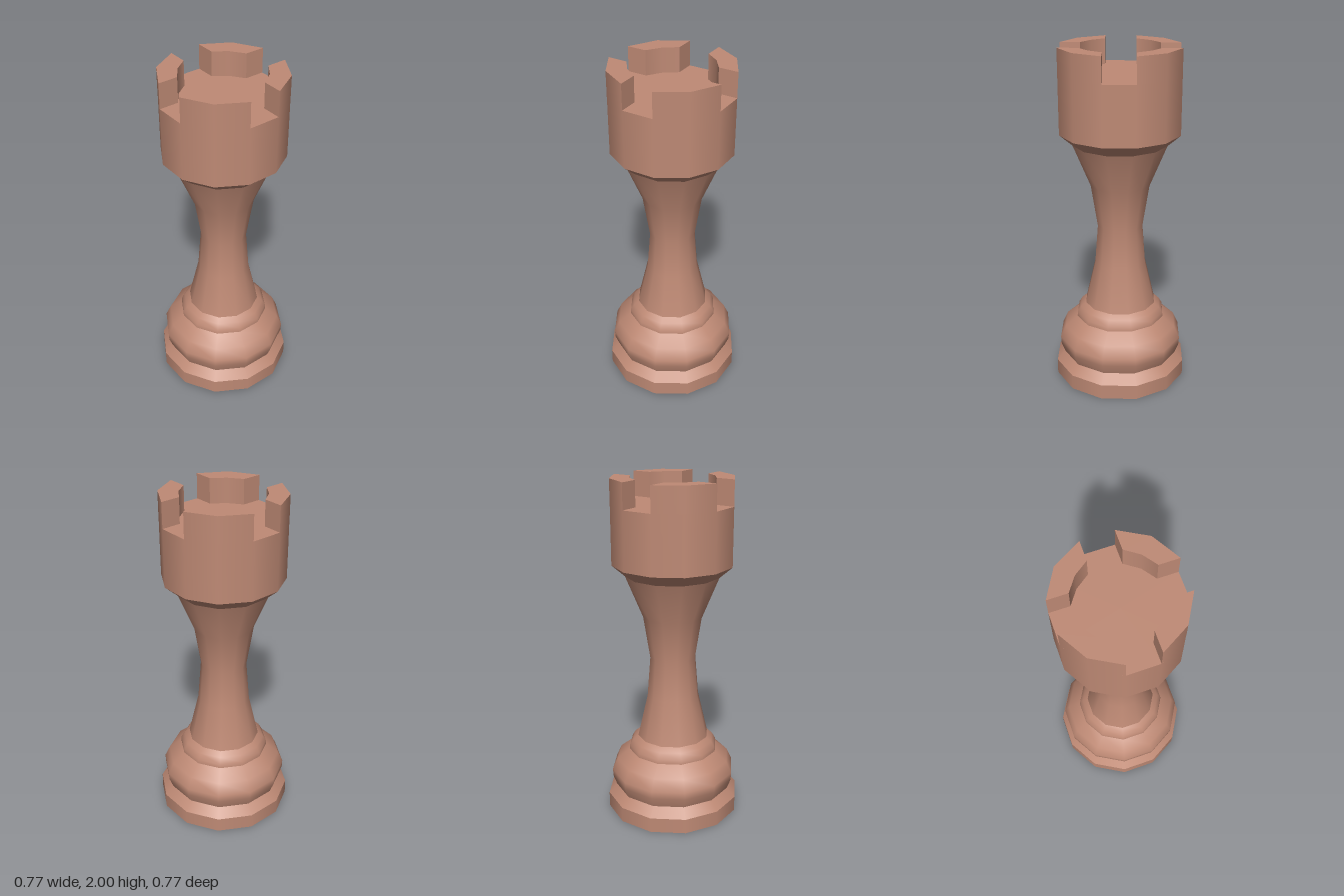
import * as THREE from 'three';

const SIDES = 12;
const FLAT = Math.cos(Math.PI / SIDES); // flat-to-flat half width / corner radius

export function createModel() {
  const group = new THREE.Group();
  const wood = new THREE.MeshStandardMaterial({ color: 0xbf8a75 });
  wood.name = 'terracotta wood';

  function add(name, geometry, parent = group) {
    const mesh = new THREE.Mesh(geometry, wood);
    mesh.name = name;
    parent.add(mesh);
    return mesh;
  }

  // Twelve-sided turned section; points are [half width, height], smooth within a section
  function turned(name, points) {
    const profile = points.map(([w, y]) => new THREE.Vector2(w / FLAT, y));
    add(name, new THREE.LatheGeometry(profile, SIDES, Math.PI / SIDES));
  }

  turned('baseUnderside', [[0, 0], [0.384, 0]]);
  turned('baseRim', [[0.384, 0], [0.384, 0.09]]);
  turned('baseBevel', [[0.384, 0.09], [0.337, 0.145]]);
  turned('bulge', [[0.337, 0.145], [0.358, 0.205], [0.36, 0.25], [0.329, 0.32], [0.258, 0.38]]);
  turned('collar', [[0.258, 0.38], [0.255, 0.405], [0.235, 0.44], [0.205, 0.465]]);
  turned('stem', [[0.205, 0.465], [0.148, 0.72], [0.13, 0.96], [0.168, 1.21], [0.265, 1.455]]);
  turned('towerUnderside', [[0.265, 1.455], [0.337, 1.52]]);
  turned('towerWall', [[0.337, 1.52], [0.337, 1.855]]);
  turned('towerFloor', [[0.337, 1.855], [0, 1.855]]);

  // Four battlements, one on each diagonal
  const shape = new THREE.Shape([
    [0.09, 0.224], [0.168, 0.168], [0.224, 0.09],
    [0.337, 0.09], [0.247, 0.247], [0.09, 0.337],
  ].map(([x, y]) => new THREE.Vector2(x, y)));
  const battlement = new THREE.ExtrudeGeometry(shape, { depth: 0.145, bevelEnabled: false });
  battlement.rotateX(-Math.PI / 2);
  battlement.translate(0, 1.855, 0);

  // Smooth the curved inner and outer walls, keep cut faces and tops flat
  const pos = battlement.attributes.position;
  const nor = battlement.attributes.normal;
  for (let i = 0; i < pos.count; i++) {
    const radial = new THREE.Vector3(pos.getX(i), 0, pos.getZ(i)).normalize();
    const facing = radial.dot(new THREE.Vector3().fromBufferAttribute(nor, i));
    if (Math.abs(facing) > 0.9) {
      radial.multiplyScalar(Math.sign(facing));
      nor.setXYZ(i, radial.x, radial.y, radial.z);
    }
  }
  const crown = new THREE.Group();
  crown.name = 'battlements';
  group.add(crown);
  for (let i = 0; i < 4; i++) {
    add('battlement' + (i + 1), battlement, crown).rotation.y = i * Math.PI / 2;
  }
  return group;
}
